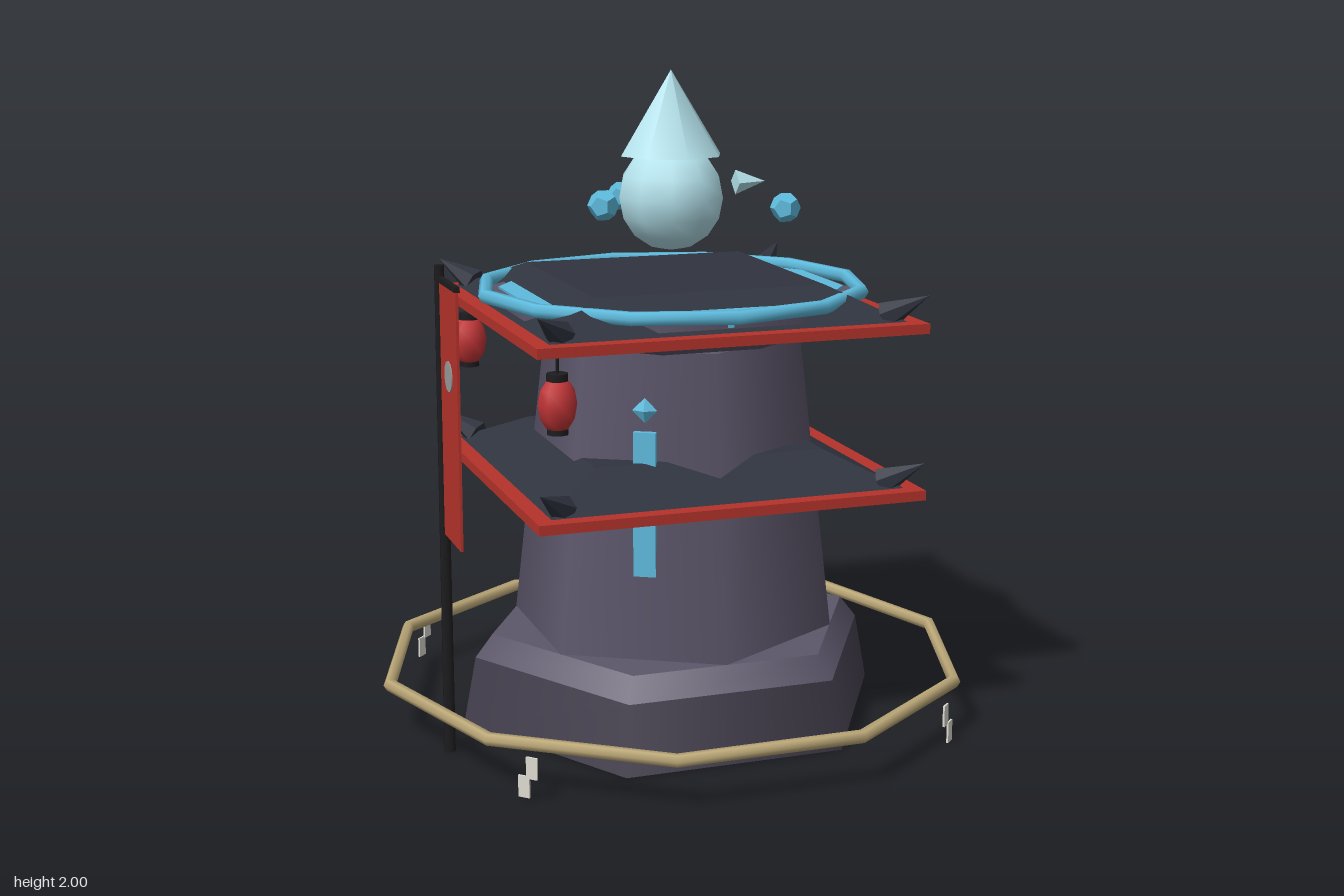
import * as THREE from 'three';

const mat = (color, extra = {}) => new THREE.MeshStandardMaterial({ color, ...extra });
const STONE = mat(0x5c566a);
const DARK_STONE = mat(0x45404f);
const SLATE = mat(0x30343f, { flatShading: true });
const RED = mat(0xb5332b);
const LANTERN = mat(0xc23436);
const BLUE = mat(0x5ebbdd);
const ICE = mat(0xb4e2ec);
const BLACK = mat(0x1d1d1f);
const SAND = mat(0xbca878);
const PAPER = mat(0xdedbd0);
const GREY = mat(0x9a9a9a);

function add(parent, name, geometry, material, x = 0, y = 0, z = 0) {
  const mesh = new THREE.Mesh(geometry, material);
  mesh.name = name;
  mesh.position.set(x, y, z);
  parent.add(mesh);
  return mesh;
}

// Upright prism or frustum between two heights; turn rotates its corners
function frustum(parent, name, material, rTop, rBottom, y0, y1, sides, turn = 0) {
  const geometry = new THREE.CylinderGeometry(rTop, rBottom, y1 - y0, sides);
  geometry.rotateY(turn);
  return add(parent, name, geometry, material, 0, (y0 + y1) / 2, 0);
}

function ring(parent, name, material, radius, tube, sides, y) {
  const geometry = new THREE.TorusGeometry(radius, tube, 6, sides);
  geometry.rotateX(Math.PI / 2);
  return add(parent, name, geometry, material, 0, y, 0);
}

const corners = [[1, 1], [-1, 1], [-1, -1], [1, -1]];

// Square roof: red eave slab, slate slope and a horn on each corner
function roof(y) {
  const group = new THREE.Group();
  group.name = 'roof';
  add(group, 'eave', new THREE.BoxGeometry(1.19, 0.03, 1.19), RED, 0, 0.015, 0);
  frustum(group, 'slateSlope', SLATE, 0.36 * Math.SQRT2, 0.545 * Math.SQRT2, 0.03, 0.122, 4, Math.PI / 4);
  for (const [sx, sz] of corners) {
    const horn = add(group, 'cornerHorn', new THREE.ConeGeometry(0.045, 0.15, 6), SLATE, sx * 0.545, 0.078, sz * 0.545);
    horn.quaternion.setFromUnitVectors(
      new THREE.Vector3(0, 1, 0), new THREE.Vector3(sx, 0.75, sz).normalize());
  }
  group.position.y = y;
  return group;
}

function lantern(x, z) {
  const group = new THREE.Group();
  group.name = 'lantern';
  const paper = new THREE.SphereGeometry(0.058, 8, 6);
  paper.scale(1, 1.45, 1);
  add(group, 'lanternBody', paper, LANTERN, 0, 1.11, 0);
  frustum(group, 'topCap', BLACK, 0.032, 0.032, 1.178, 1.2, 8);
  frustum(group, 'bottomCap', BLACK, 0.032, 0.032, 1.025, 1.045, 8);
  frustum(group, 'cord', BLACK, 0.005, 0.005, 1.2, 1.257, 5);
  group.position.set(x, 0, z);
  return group;
}

function banner() {
  const group = new THREE.Group();
  group.name = 'banner';
  frustum(group, 'pole', BLACK, 0.015, 0.018, 0, 1.475, 6);
  add(group, 'crossbar', new THREE.BoxGeometry(0.016, 0.016, 0.22), BLACK, 0, 1.435, 0.105);
  add(group, 'cloth', new THREE.BoxGeometry(0.008, 0.75, 0.2), RED, 0, 1.055, 0.112);
  const disc = new THREE.CylinderGeometry(0.045, 0.045, 0.014, 12);
  disc.rotateZ(Math.PI / 2);
  add(group, 'emblemDisc', disc, GREY, 0, 1.17, 0.112);
  group.position.set(-0.775, 0, 0.21);
  return group;
}

export function createModel() {
  const model = new THREE.Group();
  model.name = 'tower';

  // Hexagonal plinth and tapering body
  frustum(model, 'plinth', DARK_STONE, 0.64, 0.68, 0, 0.21, 6, Math.PI / 6);
  frustum(model, 'plinthStep', STONE, 0.585, 0.64, 0.21, 0.28, 6, Math.PI / 6);
  frustum(model, 'body', STONE, 0.402, 0.508, 0.28, 1.2, 6);

  // Octagonal platform carrying the upper roof
  frustum(model, 'platformFlare', STONE, 0.57, 0.4, 1.2, 1.262, 8, Math.PI / 8);
  frustum(model, 'platform', STONE, 0.57, 0.57, 1.262, 1.333, 8, Math.PI / 8);
  frustum(model, 'glowDisc', BLUE, 0.53, 0.53, 1.3, 1.34, 10);
  ring(model, 'glowRing', BLUE, 0.588, 0.022, 12, 1.34);

  model.add(roof(0.755), roof(1.258));

  // Glowing slits and gems on three faces
  for (let i = 0; i < 3; i++) {
    const face = new THREE.Group();
    face.name = 'window';
    add(face, 'slit', new THREE.BoxGeometry(0.02, 0.44, 0.068), BLUE, 0.405, 0.75, 0);
    const gem = add(face, 'gem', new THREE.OctahedronGeometry(0.038), BLUE, 0.405, 1.035, 0);
    gem.scale.x = 0.5;
    face.rotation.y = i * Math.PI * 2 / 3;
    model.add(face);
  }

  // Crowning orb with its pointed cap
  add(model, 'orb', new THREE.SphereGeometry(0.165, 10, 8), ICE, 0, 1.617, 0);
  frustum(model, 'orbCap', ICE, 0, 0.16, 1.743, 2, 8);

  // Floating crystals and shard
  for (const [x, y, z] of [[-0.282, 1.625, 0.21], [0.322, 1.585, 0.135], [-0.047, 1.58, -0.35]]) {
    add(model, 'crystal', new THREE.DodecahedronGeometry(0.047), BLUE, x, y, z);
  }
  const shard = new THREE.ConeGeometry(0.038, 0.098, 4);
  shard.rotateZ(-Math.PI / 2);
  add(model, 'shard', shard, mat(0xb4e2ec, { flatShading: true }), 0.259, 1.652, 0);

  // Lanterns under the eaves and the standing banner
  model.add(lantern(-0.515, 0.515), lantern(-0.515, -0.515), banner());

  // Rope around the base with folded paper strips at the diagonals
  ring(model, 'rope', SAND, 0.91, 0.02, 10, 0.152);
  for (const [sx, sz] of corners) {
    const strip = new THREE.Group();
    strip.name = 'paperStrip';
    const sheet = new THREE.BoxGeometry(0.036, 0.065, 0.006);
    add(strip, 'upperFold', sheet, PAPER, -0.014, 0.1, 0);
    add(strip, 'lowerFold', sheet, PAPER, 0.014, 0.04, 0.004);
    strip.position.set(sx * 0.655, 0, sz * 0.655);
    strip.rotation.y = Math.atan2(sz, sx);
    model.add(strip);
  }

  return model;
}
